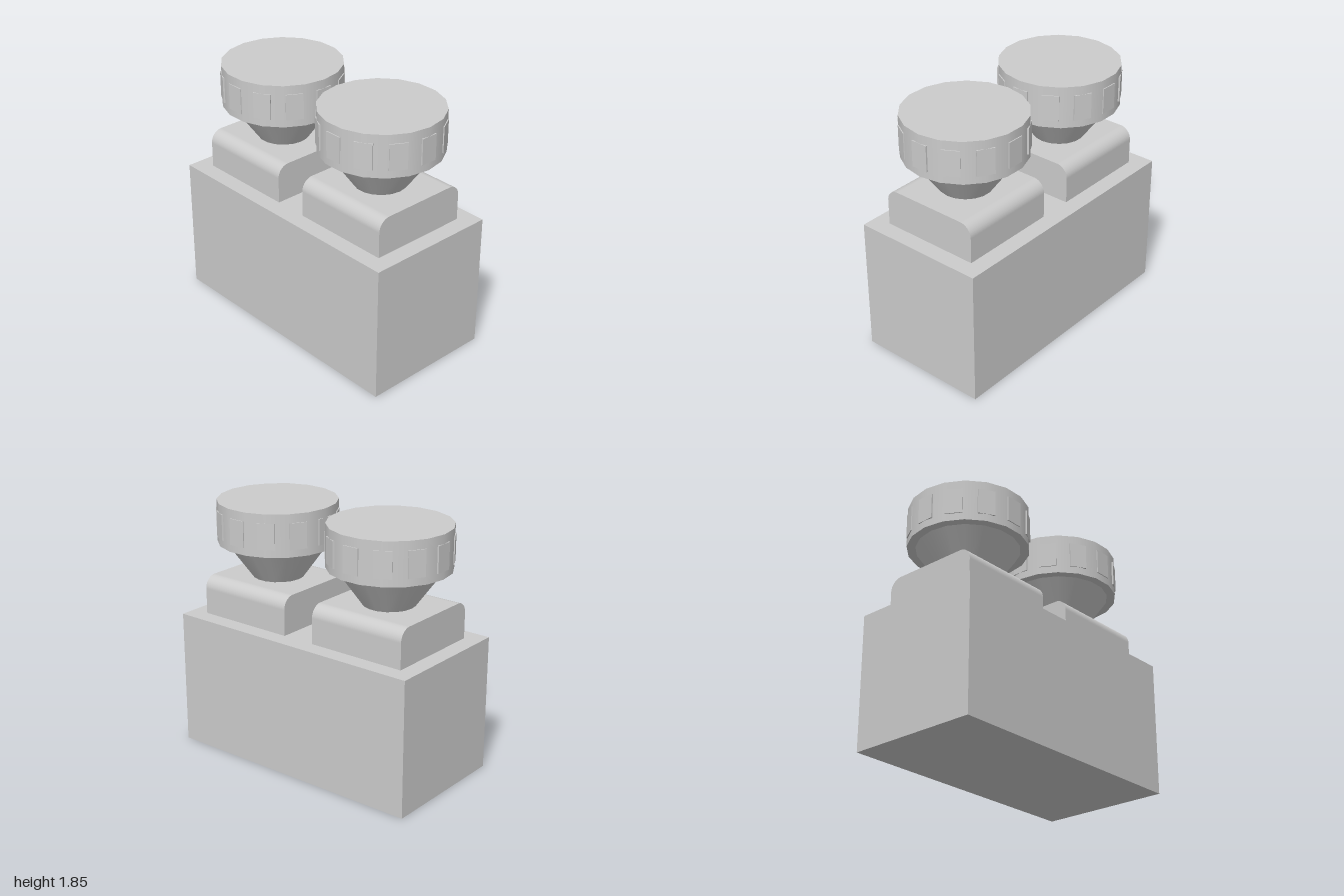
import * as THREE from 'three';

const SIDES = 18, KNOB_R = 0.4375, GRIPS = 12;

export function createModel() {
  const model = new THREE.Group();
  const material = new THREE.MeshStandardMaterial({ color: 0xcccccc });
  const add = (parent, name, geometry, x, y, z) => {
    const mesh = new THREE.Mesh(geometry, material);
    mesh.name = name;
    mesh.position.set(x, y, z);
    parent.add(mesh);
    return mesh;
  };

  // Main block
  add(model, 'body', new THREE.BoxGeometry(2, 1, 1), 0, 0.5, 0);

  // Pad profile: square at the bottom, rounded along the top front and back edges
  const w = 0.375, h = 0.28, r = 0.09;
  const profile = new THREE.Shape();
  profile.moveTo(-w, 0);
  profile.lineTo(w, 0);
  profile.lineTo(w, h - r);
  profile.absarc(w - r, h - r, r, 0, Math.PI / 2, false);
  profile.lineTo(-w + r, h);
  profile.absarc(-w + r, h - r, r, Math.PI / 2, Math.PI, false);
  profile.closePath();
  const padGeometry = new THREE.ExtrudeGeometry(profile, { depth: 0.75, bevelEnabled: false, curveSegments: 10 });
  padGeometry.translate(0, 0, -0.375).rotateY(Math.PI / 2);

  // Stem and knob share the same number of sides, with corners on the x axis
  const stemGeometry = new THREE.CylinderGeometry(0.375, 0.1875, 0.26, SIDES, 1, false, Math.PI / 2);
  const knobGeometry = new THREE.CylinderGeometry(KNOB_R, KNOB_R, 0.31, SIDES, 1, false, Math.PI / 2);
  const gripGeometry = new THREE.BoxGeometry(0.05, 0.19, 0.125);

  for (const [side, x] of [['left', 0.5], ['right', -0.5]]) {
    const control = new THREE.Group();
    control.name = side + 'Control';
    control.position.set(x, 1, 0);
    model.add(control);

    add(control, 'pad', padGeometry, 0, 0, 0);
    add(control, 'stem', stemGeometry, 0, 0.41, 0);
    add(control, 'knob', knobGeometry, 0, 0.695, 0);

    // Shallow grips around the knob rim
    for (let i = 0; i < GRIPS; i++) {
      const a = (i / GRIPS) * Math.PI * 2, d = KNOB_R - 0.0245;
      add(control, 'grip', gripGeometry, Math.cos(a) * d, 0.69, Math.sin(a) * d).rotation.y = -a;
    }
  }
  return model;
}
